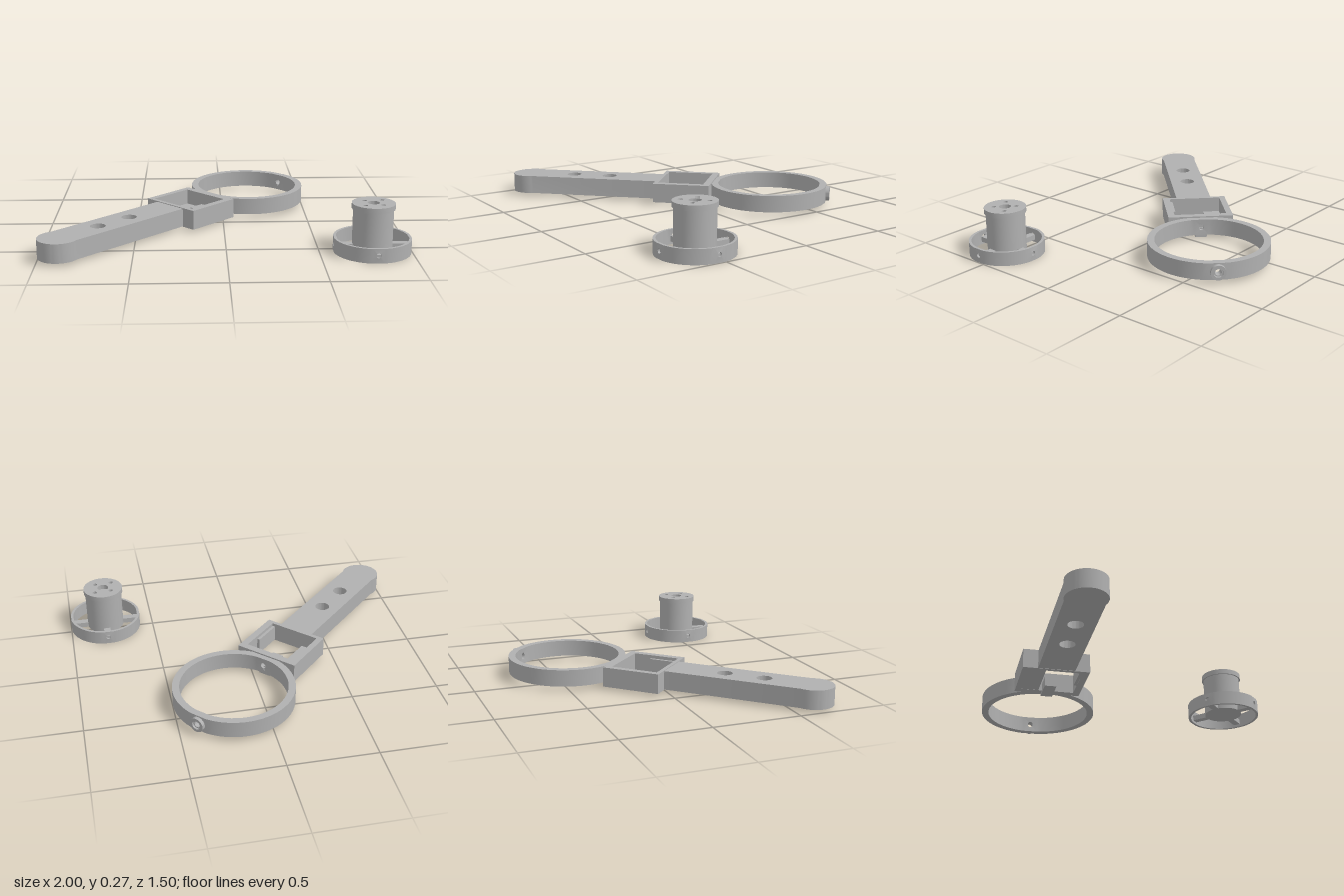
import * as THREE from 'three';
import { mergeGeometries, toCreasedNormals } from 'three/addons/utils/BufferGeometryUtils.js';

const grey = new THREE.MeshStandardMaterial({ color: 0xb0b0b0 });
grey.name = 'plain grey';

function add(parent, name, geometry) {
  const mesh = new THREE.Mesh(toCreasedNormals(geometry, 0.6), grey);
  mesh.name = name;
  parent.add(mesh);
  return mesh;
}

function box(x0, x1, y0, y1, z0, z1) {
  return new THREE.BoxGeometry(x1 - x0, y1 - y0, z1 - z0)
    .translate((x0 + x1) / 2, (y0 + y1) / 2, (z0 + z1) / 2);
}

function rectangle(x0, x1, y0, y1) {
  return new THREE.Shape([[x0, y0], [x1, y0], [x1, y1], [x0, y1]].map(p => new THREE.Vector2(...p)));
}

function circle(x, y, r) {
  return new THREE.Path().absarc(x, y, r, 0, Math.PI * 2, true);
}

// Raise a plan outline from y0 to y1; the outline's y axis becomes -z.
function raise(shape, y0, y1) {
  return new THREE.ExtrudeGeometry(shape, { depth: y1 - y0, bevelEnabled: false, curveSegments: 20 })
    .rotateX(-Math.PI / 2).translate(0, y0, 0);
}

// Band of curved plates, some of them pierced by a radial hole.
function band(inner, outer, y0, y1, holeY, holeR, holeSectors) {
  const count = 64, width = Math.PI * 2 * outer / count, parts = [];
  for (let i = 0; i < count; i++) {
    const wide = holeSectors.includes(i);
    if (holeSectors.some(h => Math.min((i - h + count) % count, (h - i + count) % count) === 1)) continue;
    const half = width * (wide ? 1.5 : 0.5);
    const plate = rectangle(-half, half, y0, y1);
    if (wide) plate.holes.push(circle(0, holeY, holeR));
    const g = new THREE.ExtrudeGeometry(plate, { depth: outer - inner, bevelEnabled: false, curveSegments: 10 });
    const p = g.attributes.position;
    for (let k = 0; k < p.count; k++) {
      const a = p.getX(k) / outer + i / count * Math.PI * 2, r = inner + p.getZ(k);
      p.setXYZ(k, r * Math.cos(a), p.getY(k), -r * Math.sin(a));
    }
    parts.push(g);
  }
  return mergeGeometries(parts);
}

function createHolder() {
  const holder = new THREE.Group();
  holder.name = 'ringHolder';

  // Handle with a bulb end and two round holes
  const bulb = -1.076, r = 0.112, w = 0.105, a = Math.asin(w / r);
  const outline = new THREE.Shape();
  outline.moveTo(-0.25, -w);
  outline.lineTo(-0.25, w);
  outline.absarc(bulb, 0, r, a, Math.PI * 2 - a, false);
  outline.closePath();
  outline.holes.push(circle(-0.803, 0, 0.043), circle(-0.577, 0, 0.043));
  add(holder, 'handle', raise(outline, 0.018, 0.124));

  // Open housing, its partial floor and thicker wall section
  const frame = rectangle(-0.26, 0.076, -0.19, 0.19);
  frame.holes.push(rectangle(-0.237, 0.036, -0.15, 0.155));
  add(holder, 'housing', raise(frame, 0.016, 0.128));
  add(holder, 'housingFloor', box(-0.24, 0.04, 0.017, 0.04, -0.16, -0.056));
  add(holder, 'wallStep', box(-0.238, -0.066, 0.017, 0.11, 0.133, 0.152));
  add(holder, 'latchTab', box(-0.06, 0.09, 0.005, 0.06, -0.034, 0.034));

  // Large ring with a pierced wall front and back
  add(holder, 'ring', band(0.302, 0.342, 0.025, 0.12, 0.072, 0.018, [0, 32])).position.x = 0.406;

  // Bored boss on the far side of the ring
  const profile = [[0.018, -0.02], [0.042, -0.02], [0.042, 0.018], [0.026, 0.018], [0.024, 0.008], [0.018, 0.008], [0.018, -0.02]];
  const boss = new THREE.LatheGeometry(profile.map(p => new THREE.Vector2(...p)), 32).rotateZ(-Math.PI / 2);
  add(holder, 'ringBoss', boss).position.set(0.748, 0.072, 0);

  holder.rotation.y = Math.PI / 4;
  holder.position.set(-0.127, 0, -0.127);
  return holder;
}

function createSpool() {
  const spool = new THREE.Group();
  spool.name = 'spool';

  // Pierced rim and four spokes
  add(spool, 'rim', band(0.196, 0.211, 0, 0.08, 0.043, 0.013, [0, 16, 32, 48]));
  for (let i = 0; i < 4; i++) {
    add(spool, 'spoke', box(0.09, 0.199, 0.015, 0.045, -0.02, 0.02)).rotation.y = i * Math.PI / 2;
  }

  // Solid core and drilled top flange
  add(spool, 'core', new THREE.CylinderGeometry(0.109, 0.109, 0.227, 48).translate(0, 0.1285, 0));
  const flange = new THREE.Shape().absarc(0, 0, 0.117, 0, Math.PI * 2, false);
  flange.holes.push(circle(0, 0, 0.033));
  for (const [x, y] of [[-0.043, 0.043], [0.053, 0.051], [-0.053, -0.053], [0.043, -0.045]]) {
    flange.holes.push(circle(x, y, 0.013));
  }
  add(spool, 'flange', raise(flange, 0.24, 0.27));

  spool.position.set(0.787, 0, 0.537);
  return spool;
}

export function createModel() {
  const model = new THREE.Group();
  model.name = 'ringHolderAndSpool';
  model.add(createHolder(), createSpool());
  return model;
}
